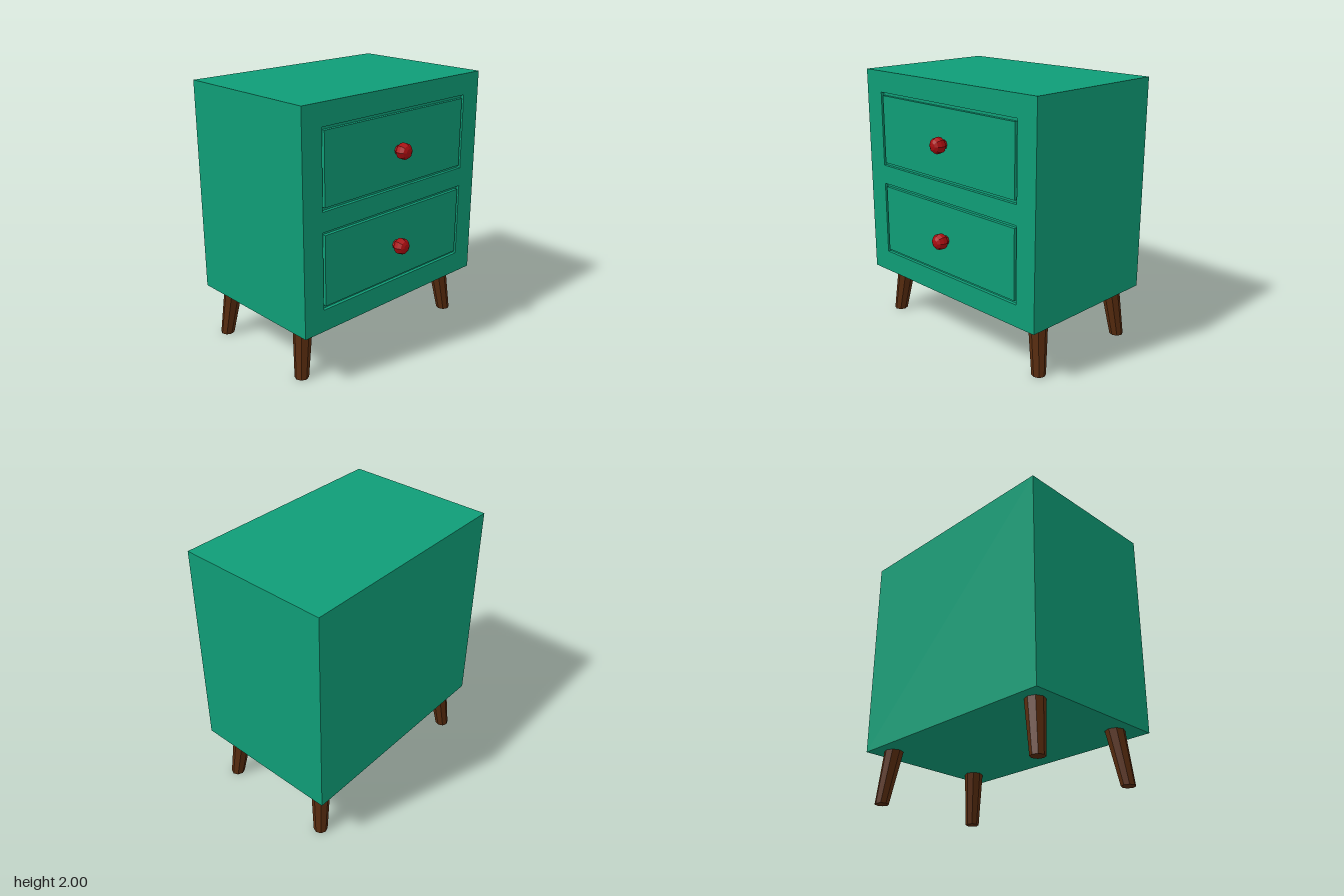
import * as THREE from 'three';

const green = new THREE.MeshStandardMaterial({ color: 0x0f9d77 });
green.name = 'greenPaint';
const red = new THREE.MeshStandardMaterial({ color: 0xa90d10 });
red.name = 'redKnob';
const brown = new THREE.MeshStandardMaterial({ color: 0x582c0f });
brown.name = 'brownWood';

const BACK = -0.64, FRONT = 0.525, BOTTOM = 0.4, TOP = 2, HALF = 0.875;
const GROOVE = 0.025; // groove depth
const DRAWERS = [0.847, 1.558]; // drawer centre heights

function add(parent, name, geometry, material) {
  const mesh = new THREE.Mesh(geometry, material);
  mesh.name = name;
  parent.add(mesh);
  return mesh;
}

// Rectangle outline, centred on (0, cy)
function rect(PathType, halfW, halfH, cy) {
  return new PathType([[-1, -1], [1, -1], [1, 1], [-1, 1]]
    .map(([x, y]) => new THREE.Vector2(x * halfW, cy + y * halfH)));
}

// Tapered leg from the floor to the body, leaning outward
function legGeometry(topX, topZ, footX, footZ) {
  const g = new THREE.CylinderGeometry(0.072, 0.052, BOTTOM, 8).toNonIndexed();
  g.translate(0, BOTTOM / 2, 0);
  const p = g.attributes.position;
  for (let i = 0; i < p.count; i++) {
    const t = p.getY(i) / BOTTOM;
    p.setX(i, p.getX(i) + THREE.MathUtils.lerp(footX, topX, t));
    p.setZ(i, p.getZ(i) + THREE.MathUtils.lerp(footZ, topZ, t));
  }
  g.computeVertexNormals();
  return g;
}

export function createModel() {
  const model = new THREE.Group();
  model.name = 'bedsideCabinet';

  // Cabinet body up to the floor of the grooves
  const depth = FRONT - GROOVE - BACK;
  add(model, 'cabinetBody', new THREE.BoxGeometry(depth, TOP - BOTTOM, HALF * 2), green)
    .position.set(BACK + depth / 2, (TOP + BOTTOM) / 2, 0);

  // Front frame with an opening for each drawer
  const frame = rect(THREE.Shape, HALF, (TOP - BOTTOM) / 2, (TOP + BOTTOM) / 2);
  for (const y of DRAWERS) frame.holes.push(rect(THREE.Path, 0.708, 0.283, y));
  const frameGeometry = new THREE.ExtrudeGeometry(frame, { depth: GROOVE, bevelEnabled: false });
  frameGeometry.rotateY(Math.PI / 2).translate(FRONT - GROOVE, 0, 0);
  add(model, 'frontFrame', frameGeometry, green);

  // Faceted knob on a short stem, turned around the x axis
  const profile = [[0, 0], [0.035, 0], [0.035, 0.015], [0.052, 0.025], [0.061, 0.045],
    [0.061, 0.067], [0.048, 0.093], [0.026, 0.106], [0, 0.11]]
    .map(([r, h]) => new THREE.Vector2(r, h));
  const knobGeometry = new THREE.LatheGeometry(profile, 8).toNonIndexed();
  knobGeometry.rotateZ(-Math.PI / 2);
  knobGeometry.computeVertexNormals();

  DRAWERS.forEach((y, i) => {
    const drawer = new THREE.Group();
    drawer.name = i ? 'upperDrawer' : 'lowerDrawer';
    drawer.position.set(FRONT, y, 0);
    add(drawer, 'drawerPanel', new THREE.BoxGeometry(GROOVE, 0.518, 1.376), green)
      .position.x = -GROOVE / 2;
    add(drawer, 'knob', knobGeometry, red);
    model.add(drawer);
  });

  // Four splayed legs
  for (const side of [-1, 1]) {
    add(model, 'frontLeg', legGeometry(0.322, side * 0.728, 0.364, side * 0.781), brown);
    add(model, 'backLeg', legGeometry(-0.495, side * 0.728, -0.536, side * 0.781), brown);
  }
  return model;
}
